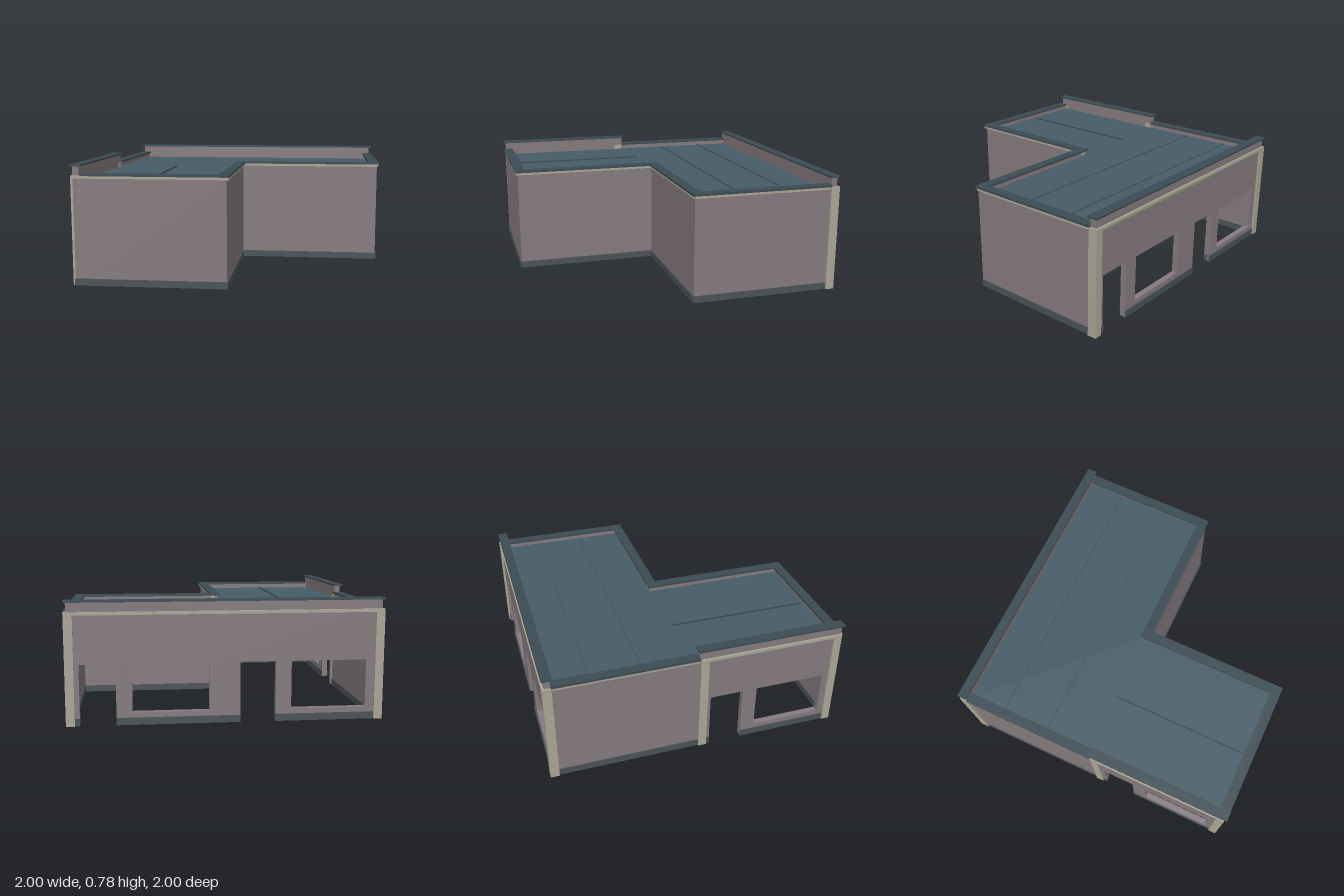
import * as THREE from 'three';

const mat = (color) => new THREE.MeshStandardMaterial({ color, flatShading: true, side: THREE.DoubleSide });
const WALL = mat(0x857a7f), ROOF = mat(0x465c68), CAP = mat(0x3c4b53), TRIM = mat(0xaaa595), PLINTH = mat(0x4a5358);

// Box given by its min and max on each axis
function block(parent, name, material, [x0, x1], [y0, y1], [z0, z1]) {
  const mesh = new THREE.Mesh(new THREE.BoxGeometry(x1 - x0, y1 - y0, z1 - z0), material);
  mesh.position.set((x0 + x1) / 2, (y0 + y1) / 2, (z0 + z1) / 2);
  mesh.name = name;
  parent.add(mesh);
}

// Each side is built facing +z, then turned about the centre
function side(name, angle) {
  const group = new THREE.Group();
  group.name = name;
  group.rotation.y = angle;
  return group;
}

const THICK = 0.04;

// Solid wall with plinth, trim band and low parapet cap
function solidSide(name, angle, u0, u1, outer, capStart = u0, capEnd = u1) {
  const g = side(name, angle);
  block(g, 'wall', WALL, [u0, u1], [0.002, 0.71], [outer - THICK, outer]);
  block(g, 'plinth', PLINTH, [u0, u1], [0, 0.045], [outer - THICK - 0.002, outer + 0.007]);
  block(g, 'trimBand', TRIM, [u0, capEnd], [0.692, 0.709], [outer - 0.01, outer + 0.011]);
  block(g, 'parapetCap', CAP, [capStart, capEnd], [0.708, 0.722], [outer - 0.053, outer + 0.015]);
  return g;
}

// Facade of one-unit bays, each with a doorway and a window, under a tall parapet
function openSide(name, angle, bays, u0, u1, capStart) {
  const g = side(name, angle), outer = 0.985, top = 0.77;
  const doorL = 0.085, doorR = 0.31, winL = 0.41, winR = 0.89, head = 0.385, sill = 0.078;
  const shape = new THREE.Shape();
  shape.moveTo(u0, 0);
  for (const b of bays) {
    shape.lineTo(b + doorL, 0);
    shape.lineTo(b + doorL, head);
    shape.lineTo(b + doorR, head);
    shape.lineTo(b + doorR, 0);
    const hole = new THREE.Path();
    hole.moveTo(b + winL, sill);
    hole.lineTo(b + winL, head);
    hole.lineTo(b + winR, head);
    hole.lineTo(b + winR, sill);
    hole.closePath();
    shape.holes.push(hole);
  }
  shape.lineTo(u1, 0);
  shape.lineTo(u1, top);
  shape.lineTo(u0, top);
  shape.closePath();
  const wall = new THREE.Mesh(
    new THREE.ExtrudeGeometry(shape, { depth: THICK, bevelEnabled: false }), WALL);
  wall.position.z = outer - THICK;
  wall.name = 'facadeWall';
  g.add(wall);

  // Plinth runs between the doorways
  let start = u0;
  for (const b of [...bays, null]) {
    const end = b === null ? u1 : b + doorL;
    block(g, 'plinth', PLINTH, [start, end], [0, 0.045], [outer - THICK - 0.002, outer + 0.007]);
    if (b !== null) start = b + doorR;
  }

  // Corner posts, beam and cap
  const left = Math.max(capStart, -1) < -0.5 ? -1 : 0.005;
  const right = angle === Math.PI ? 1 : u1;
  block(g, 'post', TRIM, [left, left + 0.055], [0, 0.709], [outer - THICK - 0.004, 1]);
  block(g, 'post', TRIM, [right - 0.055, right], [0, 0.709], [outer - THICK - 0.004, 1]);
  block(g, 'beam', TRIM, [left, right], [0.69, 0.709], [outer - 0.01, 1]);
  block(g, 'parapetCap', CAP, [capStart, 1], [0.768, 0.78], [0.932, 1]);
  return g;
}

export function createModel() {
  const model = new THREE.Group();
  model.name = 'building';
  const H = Math.PI / 2;

  // Facades with openings
  model.add(openSide('backFacade', Math.PI, [-1, 0], -0.985, 0.985, -1));
  model.add(openSide('rightFacade', -H, [0], 0, 0.985, -0.01));

  // Solid walls around the rest of the L
  model.add(solidSide('rightRearWall', -H, -0.95, 0, 0.985, -0.945, 0));
  model.add(solidSide('frontWall', 0, -0.983, -0.005, 0.985, -0.932, 0.01));
  model.add(solidSide('leftWall', H, 0.005, 0.983, 0.985, -0.01, 0.945));
  model.add(solidSide('innerLeftWall', H, -0.983, 0.045, -0.005, -0.985, 0.058));
  model.add(solidSide('innerFrontWall', 0, -0.045, 0.983, -0.005, -0.058, 0.985));

  // L-shaped roof deck below the parapets
  const plan = new THREE.Shape(
    [[-0.95, -0.95], [-0.04, -0.95], [-0.04, 0.04], [0.95, 0.04], [0.95, 0.95], [-0.95, 0.95]]
      .map(([x, y]) => new THREE.Vector2(x, y)));
  const roof = new THREE.Mesh(new THREE.ExtrudeGeometry(plan, { depth: 0.01, bevelEnabled: false }), ROOF);
  roof.rotation.x = -H;
  roof.position.y = 0.665;
  roof.name = 'roofDeck';
  model.add(roof);

  // Raised roof seams
  for (const z of [-0.69, -0.355]) {
    block(model, 'roofSeam', ROOF, [-0.94, 0.94], [0.67, 0.683], [z - 0.003, z + 0.003]);
  }
  block(model, 'roofSeam', CAP, [-0.525, -0.515], [0.67, 0.683], [-0.03, 0.925]);

  return model;
}
